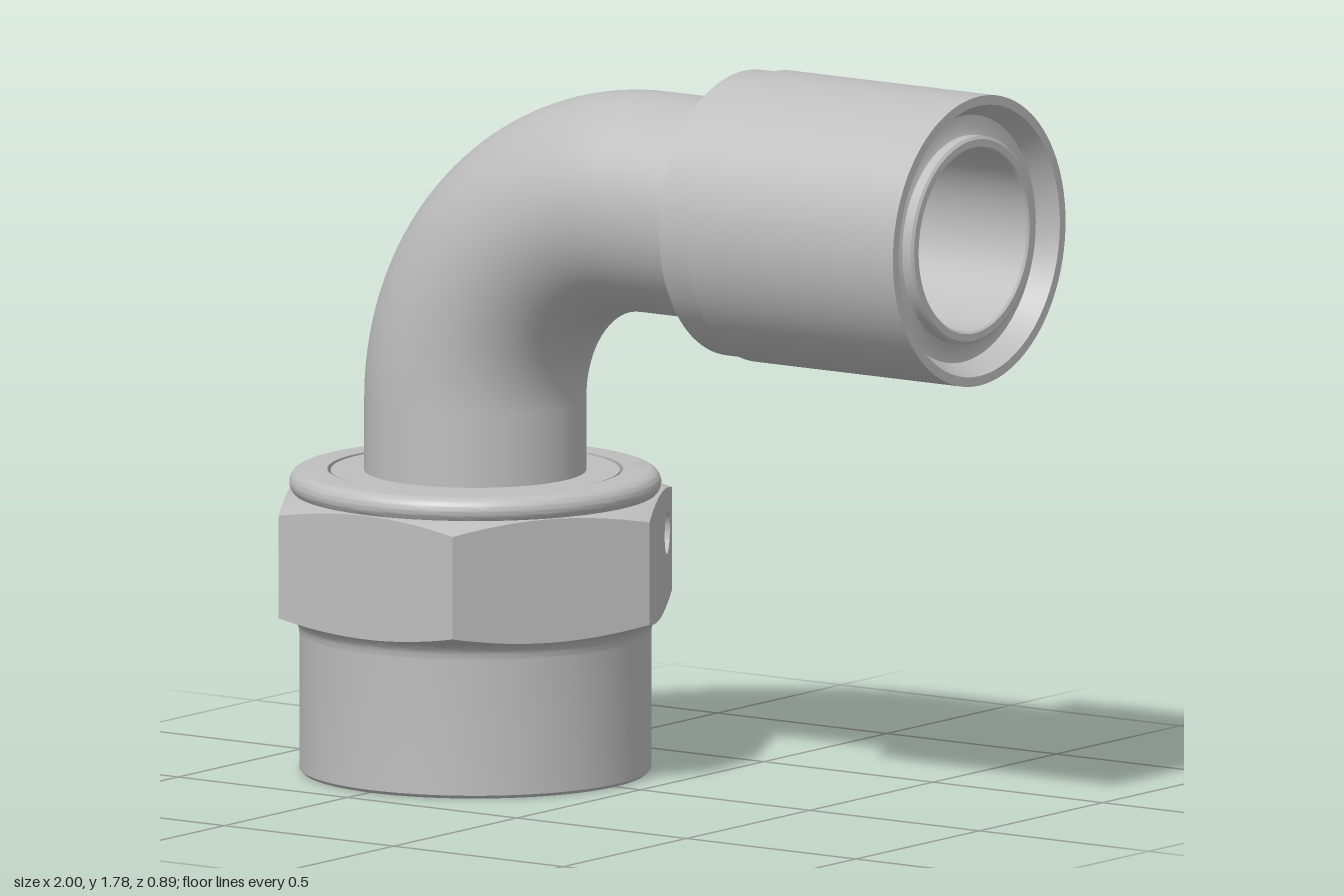
import * as THREE from 'three';
import { toCreasedNormals } from 'three/addons/utils/BufferGeometryUtils.js';

const CX = -0.487;            // x of the vertical nut axis
const APOTHEM = 0.445;        // hexagon, flat to centre
const HALF = APOTHEM * Math.tan(Math.PI / 6);
const PIPE_Y = 1.427;         // height of the horizontal axis
const BEND = { x: 0.04, y: 0.9 };
const R_OUT = 0.265, R_IN = 0.22;
const TOP = 0.675, BOTTOM = 0.376, SLOPE = 0.37;

export function createModel() {
  const group = new THREE.Group();
  const steel = new THREE.MeshStandardMaterial({ color: 0xbebebe, side: THREE.DoubleSide });
  steel.name = 'steel grey';

  const add = (name, geometry, x = 0, y = 0, z = 0, parent = group) => {
    const mesh = new THREE.Mesh(geometry, steel);
    mesh.name = name;
    mesh.position.set(x, y, z);
    parent.add(mesh);
    return mesh;
  };
  const turned = (points) => toCreasedNormals(
    new THREE.LatheGeometry(points.map(([r, y]) => new THREE.Vector2(r, y)), 96), 0.5);
  // Rounded profile corner: points on an arc between two angles
  const arc = (cx, cy, rx, ry, from, to, n = 8) => Array.from({ length: n + 1 }, (_, i) => {
    const a = from + (to - from) * i / n;
    return [cx + rx * Math.cos(a), cy + ry * Math.sin(a)];
  });

  // Hollow round body: bore, bottom rim, skirt, fillet, rounded collar, top groove
  const nut = new THREE.Group();
  nut.name = 'nut';
  nut.position.x = CX;
  group.add(nut);
  add('nutBody', turned([
    [R_IN, 0.6], [0.355, 0.45], [0.355, 0.012], [0.367, 0], [0.412, 0], [0.42, 0.008], [0.42, 0.335],
    ...arc(0.46, 0.335, 0.04, 0.045, Math.PI, Math.PI * 0.62),
    [APOTHEM, BOTTOM], [0.43, TOP - 0.005],
    ...arc(0.413, 0.698, 0.031, 0.031, -0.6, Math.PI / 2, 12),
    [0.353, 0.729], [0.353, 0.7], [0.345, 0.7], [0.345, 0.727], [R_OUT - 0.005, 0.727],
  ]), 0, 0, 0, nut);

  // Hexagon flats with curved edges left by the chamfer; one has a drilled hole
  const drop = (u) => (Math.hypot(APOTHEM, u) - APOTHEM) * SLOPE;
  const hole = { u: 0.147, y: 0.557, r: 0.051 };
  for (let i = 0; i < 6; i++) {
    const outline = [];
    for (let k = 0; k <= 20; k++) {
      const u = -HALF + 2 * HALF * k / 20;
      outline.push(new THREE.Vector2(u, BOTTOM + drop(u)));
    }
    for (let k = 20; k >= 0; k--) {
      const u = -HALF + 2 * HALF * k / 20;
      outline.push(new THREE.Vector2(u, TOP - drop(u)));
    }
    const flat = new THREE.Shape(outline);
    const angle = Math.PI * i / 3;
    if (i === 2) {   // flat facing right and back
      const cut = new THREE.Path();
      cut.absellipse(hole.u, hole.y, hole.r / Math.cos(Math.PI / 6), hole.r, 0, Math.PI * 2, true);
      flat.holes.push(cut);
    }
    const face = new THREE.ShapeGeometry(flat, 24);
    face.translate(0, 0, APOTHEM);
    face.rotateY(angle);
    add('nutFlat', face, 0, 0, 0, nut);
  }

  // Conical chamfers from the round body out to the hexagon edge
  const chamfer = (y, sign) => {
    const pos = [], index = [], n = 120;
    for (let i = 0; i <= n; i++) {
      const a = Math.PI * 2 * i / n;
      const local = ((a + Math.PI / 6) % (Math.PI / 3)) - Math.PI / 6;
      const hex = APOTHEM / Math.cos(local);
      for (const [r, h] of [[0.42, y], [APOTHEM, y], [hex, y - sign * (hex - APOTHEM) * SLOPE]]) {
        pos.push(r * Math.sin(a), h, r * Math.cos(a));
      }
      if (i === n) continue;
      for (let j = 0; j < 2; j++) {
        const p = i * 3 + j, q = p + 3;
        if (sign > 0) index.push(p, p + 1, q, q, p + 1, q + 1);
        else index.push(p, q, p + 1, q, q + 1, p + 1);
      }
    }
    const g = new THREE.BufferGeometry();
    g.setAttribute('position', new THREE.Float32BufferAttribute(pos, 3));
    g.setIndex(index);
    g.computeVertexNormals();
    return g;
  };
  add('topChamfer', chamfer(TOP, 1), 0, 0, 0, nut);
  add('bottomChamfer', chamfer(BOTTOM, -1), 0, 0, 0, nut);

  // Blind hole wall drilled along x, its mouth trimmed to the sloping flat
  const holeZ = -(HALF / 2 * Math.sqrt(3) + hole.u * Math.cos(Math.PI / 6));
  const depthX = 0.19;
  const wall = new THREE.CylinderGeometry(hole.r, hole.r, 1, 32, 1, true);
  wall.rotateZ(-Math.PI / 2);
  wall.translate(0, hole.y, holeZ);
  const p = wall.attributes.position;
  for (let i = 0; i < p.count; i++) {
    p.setX(i, p.getX(i) > 0 ? 2 * HALF + p.getZ(i) / Math.sqrt(3) : depthX);
  }
  add('holeWall', wall, 0, 0, 0, nut);
  const floor = new THREE.CircleGeometry(hole.r, 32);
  floor.rotateY(Math.PI / 2);
  add('holeFloor', floor, depthX, hole.y, holeZ, nut);

  // Hollow elbow: riser, quarter bend and horizontal run
  const bendRadius = PIPE_Y - BEND.y;
  for (const [label, r] of [['Outside', R_OUT], ['Bore', R_IN]]) {
    add('riser' + label, new THREE.CylinderGeometry(r, r, BEND.y - 0.6, 80, 1, true), CX, (BEND.y + 0.6) / 2);
    const bend = new THREE.TorusGeometry(bendRadius, r, 80, 48, Math.PI / 2);
    bend.rotateZ(Math.PI / 2);
    add('bend' + label, bend, BEND.x, BEND.y);
  }
  const run = new THREE.CylinderGeometry(R_OUT, R_OUT, 0.3, 80, 1, true);
  run.rotateZ(Math.PI / 2);
  add('horizontalRun', run, BEND.x + 0.15, PIPE_Y);

  // Sleeve with a stepped shoulder, recessed mouth, inner tube end and bore
  const sleeve = turned([
    [R_OUT - 0.005, 0.305], [0.343, 0.305], [0.343, 0.39], [0.35, 0.39], [0.35, 1],
    [0.327, 1], [0.298, 0.95], [0.263, 0.95], [0.25, 0.955], [0.25, 0.98],
    [0.243, 0.985], [0.225, 0.985], [R_IN, 0.98], [R_IN, BEND.x],
  ]);
  sleeve.rotateZ(-Math.PI / 2);
  add('sleeve', sleeve, 0, PIPE_Y);

  return group;
}
